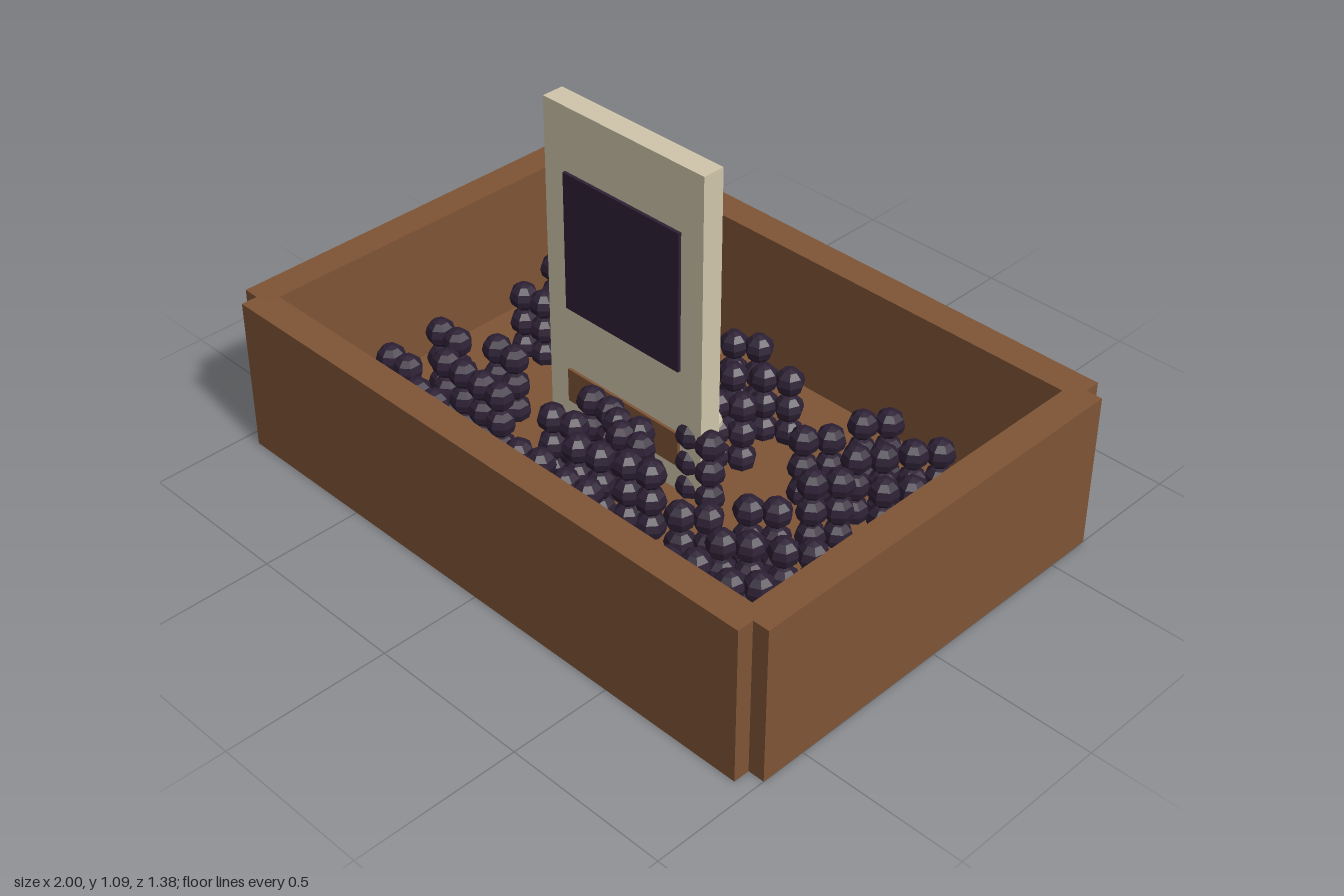
import * as THREE from 'three';

const flat = (name, color) => {
  const m = new THREE.MeshStandardMaterial({ color, flatShading: true });
  m.name = name;
  return m;
};

export function createModel() {
  const wood = flat('wood', 0x7f5436);
  const cream = flat('cream', 0xd0c6ab);
  const purple = flat('dark purple', 0x2d2135);
  const model = new THREE.Group();
  model.name = 'fruitCrate';

  const box = (name, mat, [x0, x1], [y0, y1], [z0, z1], parent = model) => {
    const mesh = new THREE.Mesh(new THREE.BoxGeometry(x1 - x0, y1 - y0, z1 - z0), mat);
    mesh.position.set((x0 + x1) / 2, (y0 + y1) / 2, (z0 + z1) / 2);
    mesh.name = name;
    parent.add(mesh);
    return mesh;
  };

  // Crate: floor and four walls, notched at the corners
  const H = 0.485;
  box('floor', wood, [-0.95, 0.95], [0, 0.04], [-0.64, 0.64]);
  box('frontWall', wood, [-0.95, 0.95], [0, H], [0.595, 0.69]);
  box('backWall', wood, [-0.95, 0.95], [0, H], [-0.69, -0.595]);
  box('leftWall', wood, [0.905, 1], [0, H], [-0.64, 0.64]);
  box('rightWall', wood, [-1, -0.905], [0, H], [-0.64, 0.64]);

  // Upright sign with a dark panel and a wooden strip below it
  const sign = new THREE.Group();
  sign.name = 'sign';
  model.add(sign);
  box('signBoard', cream, [-0.42, 0.18], [0.002, 1.09], [-0.05, 0.02], sign);
  box('signPanel', purple, [-0.34, 0.1], [0.45, 0.89], [0.02, 0.03], sign);
  box('signStrip', wood, [-0.34, 0.1], [0.13, 0.24], [0.02, 0.029], sign);

  // Bunches of grapes: x, z and turn in degrees of every double column
  const bunches = {
    backRight: [[-0.57, -0.43, 12], [-0.72, -0.31, 10], [-0.42, -0.31, 10], [-0.57, -0.265, 10],
      [-0.67, -0.14, 10], [-0.48, -0.135, 10]],
    backMiddle: [[-0.06, -0.415, 30], [0.115, -0.355, 30], [-0.175, -0.265, 30], [-0.015, -0.26, 30],
      [-0.14, -0.1, 0], [-0.02, -0.145, 15], [0.105, -0.17, 35]],
    backLeft: [[0.45, -0.395, 50], [0.635, -0.39, 50], [0.385, -0.225, 50], [0.54, -0.265, 50],
      [0.685, -0.21, 50], [0.53, -0.1, 50]],
    frontRight: [[-0.7, 0.165, 0], [-0.52, 0.105, 0], [-0.57, 0.255, 0], [-0.415, 0.255, 0],
      [-0.7, 0.35, 0], [-0.52, 0.405, 0]],
    frontMiddle: [[-0.145, 0.085, 0], [-0.02, 0.1, 10], [0.03, 0.14, 0], [-0.165, 0.21, 12],
      [-0.015, 0.255, 12], [0.135, 0.21, 12], [-0.11, 0.385, 10], [0.075, 0.385, 10], [0.16, 0, 0]],
    frontLeft: [[0.49, 0.105, 38], [0.67, 0.165, 38], [0.38, 0.25, 38], [0.535, 0.255, 38],
      [0.66, 0.355, 38], [0.485, 0.405, 38]],
  };
  const grape = new THREE.SphereGeometry(0.045, 7, 6);
  for (const [name, columns] of Object.entries(bunches)) {
    const bunch = new THREE.Group();
    bunch.name = name + 'Grapes';
    for (const [x, z, turn] of columns) {
      const column = new THREE.Group();
      column.name = 'grapeColumn';
      column.position.set(x, 0, z);
      column.rotation.y = THREE.MathUtils.degToRad(turn);
      for (const y of [0.065, 0.15, 0.24]) {
        for (const side of [-1, 1]) {
          const mesh = new THREE.Mesh(grape, purple);
          mesh.name = 'grape';
          mesh.position.set(side * 0.037, y, 0);
          column.add(mesh);
        }
      }
      bunch.add(column);
    }
    model.add(bunch);
  }

  // Pale berries half hidden behind the sign
  for (const [x, z] of [[0.1, -0.1], [-0.15, -0.05]]) {
    const berry = new THREE.Mesh(new THREE.SphereGeometry(0.035, 10, 7), cream);
    berry.name = 'paleBerry';
    berry.position.set(x, 0.22, z);
    model.add(berry);
  }
  return model;
}
